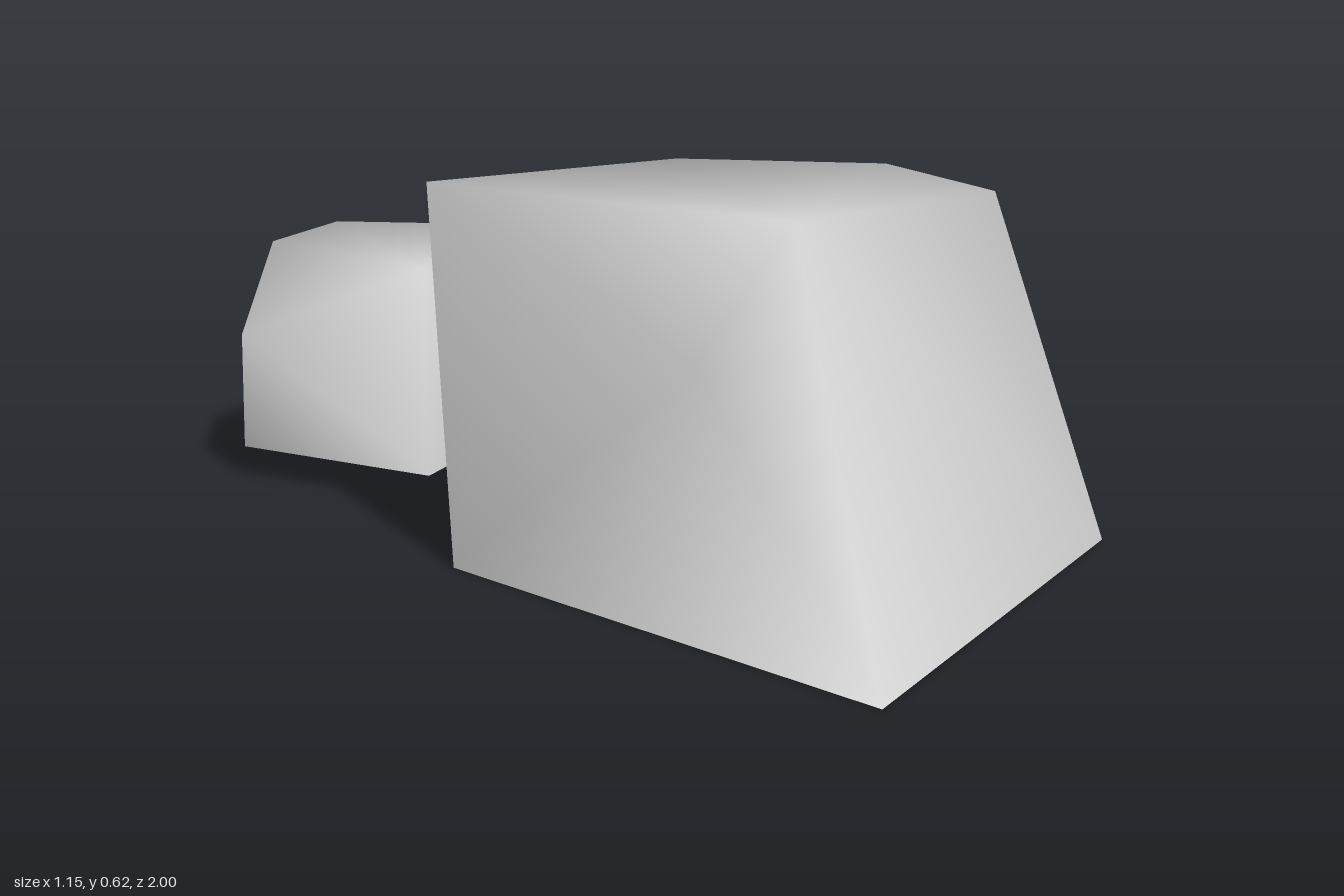
import * as THREE from 'three';

// Open shells, so both sides show
const stone = new THREE.MeshStandardMaterial({ color: 0xcccccc, side: THREE.DoubleSide });
stone.name = 'stoneGrey';

// Chiselled boulder shell, open underneath: a foot ring joined to a crown ring
// of as many [x, y, z] corners, closed by a fan on top; shared normals shade it softly.
function boulder(name, foot, crown) {
  const n = foot.length;
  const faces = [];
  for (let i = 0; i < n; i++) {
    const j = (i + 1) % n;
    faces.push(i, j, n + i, n + i, j, n + j);
  }
  for (let i = 1; i < n - 1; i++) faces.push(n, n + i, n + i + 1);

  const geometry = new THREE.BufferGeometry();
  geometry.setAttribute('position', new THREE.Float32BufferAttribute([...foot, ...crown].flat(), 3));
  geometry.setIndex(faces);
  geometry.computeVertexNormals();
  const mesh = new THREE.Mesh(geometry, stone);
  mesh.name = name;
  return mesh;
}

// Gives a flat ring of [x, z] corners its height
const level = (y, ring) => ring.map(([x, z]) => [x, y, z]);

export function createModel() {
  const group = new THREE.Group();
  group.name = 'rocks';

  // Large rock in front; its last crown corner is chipped lower
  group.add(boulder('largeRock',
    level(0, [[-0.2, 1], [0.575, 0.38], [0.465, -0.12], [0.175, -0.31], [-0.33, -0.2], [-0.472, 0.04]]),
    [
      ...level(0.625, [[-0.07, 0.475], [0.34, 0.4], [0.3, 0.11], [0.005, -0.09], [-0.455, -0.09]]),
      [-0.3, 0.44, 0.59],
    ]));

  // Small rock behind, lifted slightly, chipped in the same way
  group.add(boulder('smallRock',
    level(0.055, [[-0.36, -0.325], [0.073, -0.69], [-0.23, -1], [-0.49, -0.745], [-0.575, -0.66]]),
    [
      ...level(0.405, [[-0.33, -0.41], [-0.04, -0.69], [-0.31, -0.86], [-0.48, -0.745]]),
      [-0.575, 0.26, -0.66],
    ]));

  return group;
}
